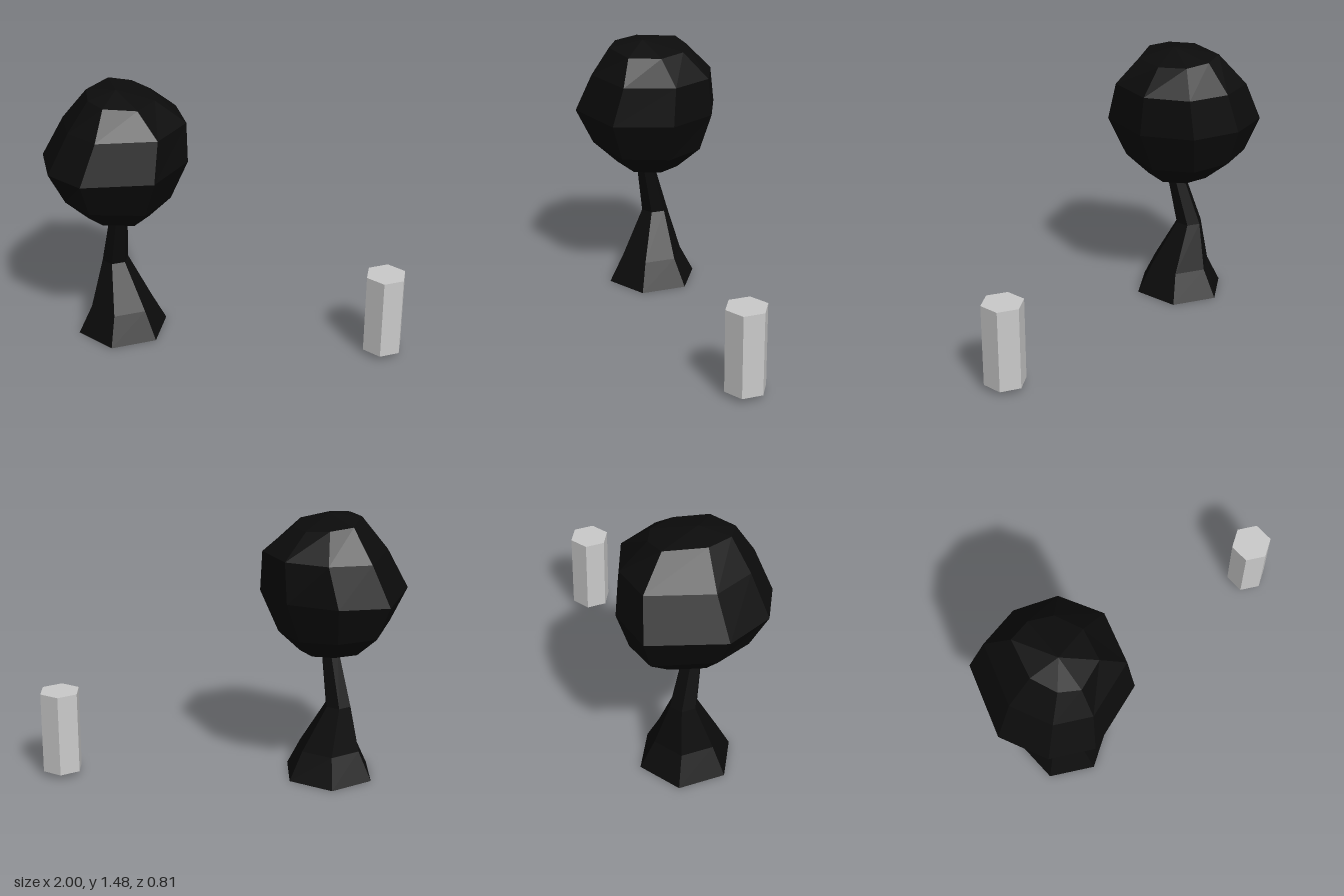
import * as THREE from 'three';

// Lofts an outline of [x, z] points through rings [y, cx, cz, scaleX, scaleZ, slopeX],
// rings listed bottom to top; base and tip are the closing points.
function loft(outline, rings, base, tip) {
  const n = outline.length;
  const pos = [], index = [];
  for (const [y, cx, cz, sx, sz, slope = 0] of rings) {
    for (const [x, z] of outline) pos.push(cx + x * sx, y + x * sx * slope, cz + z * sz);
  }
  const baseId = rings.length * n, topRow = baseId - n;
  pos.push(...base, ...tip);
  for (let j = 0; j < n; j++) {
    const k = (j + 1) % n;
    for (let r = 0; r < topRow; r += n) {
      index.push(r + j, r + k, r + n + k, r + j, r + n + k, r + n + j);
    }
    index.push(baseId, k, j, baseId + 1, topRow + j, topRow + k);
  }
  const geo = new THREE.BufferGeometry();
  geo.setAttribute('position', new THREE.Float32BufferAttribute(pos, 3));
  geo.setIndex(index);
  const flat = geo.toNonIndexed();
  flat.computeVertexNormals();
  return flat;
}

export function createModel() {
  const model = new THREE.Group();
  const dark = new THREE.MeshStandardMaterial({ color: 0x0c0c0c, flatShading: true });
  const grey = new THREE.MeshStandardMaterial({ color: 0xcccccc, flatShading: true });

  const add = (parent, name, geo, mat) => {
    const mesh = new THREE.Mesh(geo, mat);
    mesh.name = name;
    parent.add(mesh);
    return mesh;
  };

  const tree = new THREE.Group();
  tree.name = 'tree';
  tree.position.x = -0.6;
  model.add(tree);

  // Bent six-sided trunk with a flared foot
  const hexagon = Array.from({ length: 6 }, (_, i) => {
    const a = i * Math.PI / 3;
    return [Math.sin(a), Math.cos(a)];
  });
  add(tree, 'trunk', loft(hexagon, [
    [0, 0.005, -0.022, 0.26, 0.262],
    [0.16, 0.005, -0.022, 0.18, 0.18],
    [0.42, -0.035, -0.055, 0.075, 0.077],
    [0.74, 0.015, 0.018, 0.05, 0.05],
  ], [0.005, 0, -0.022], [0.015, 0.74, 0.018]), dark);

  // Lumpy eight-sided crown
  const lump = [
    [-0.08, 0.4], [0.29, 0.29], [0.4, -0.03], [0.27, -0.3],
    [0.01, -0.41], [-0.26, -0.37], [-0.4, 0.02], [-0.29, 0.28],
  ];
  add(tree, 'crown', loft(lump, [
    [0.74, 0, -0.01, 0.45, 0.45, -0.08],
    [0.865, -0.005, -0.015, 0.76, 0.8, -0.08],
    [1.07, 0, 0, 1, 1],
    [1.29, 0.055, -0.02, 0.84, 0.85],
    [1.44, 0.045, 0, 0.46, 0.55, -0.13],
  ], [0.02, 0.695, -0.03], [0.03, 1.48, 0.03]), dark);

  // Separate hexagonal post
  const post = add(model, 'post', new THREE.CylinderGeometry(0.115, 0.115, 0.46, 6), grey);
  post.position.set(0.9, 0.26, -0.025);

  return model;
}
